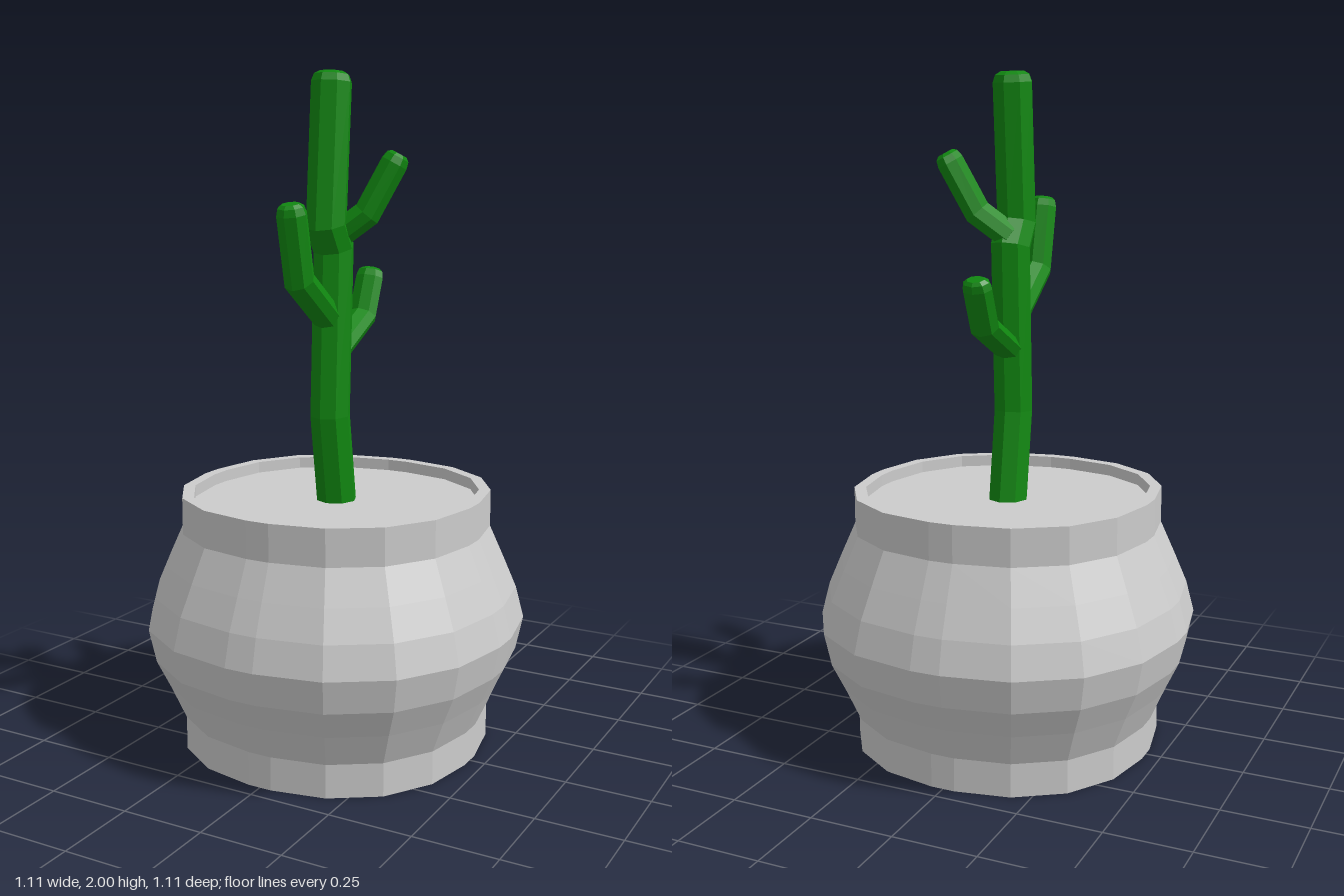
import * as THREE from 'three';

const grey = new THREE.MeshStandardMaterial({ color: 0xcccccc, flatShading: true });
const green = new THREE.MeshStandardMaterial({ color: 0x118811, flatShading: true });

// One quarter of the pot's outline: a slightly squared circle, as x, z
const QUARTER = [[0.08, 1], [0.435, 0.93], [0.735, 0.735], [0.93, 0.435], [1, 0.08]];

// Turns a radius/height profile around the pot's squared outline
function potShape(name, profile) {
  const points = profile.map(([r, y]) => new THREE.Vector2(r, y));
  const geometry = new THREE.LatheGeometry(points, 20);
  const pos = geometry.attributes.position;
  for (let i = 0; i <= 20; i++) {
    let [x, z] = QUARTER[i % 5];
    for (let q = 0; q < Math.floor(i / 5); q++) [x, z] = [z, -x];
    points.forEach((p, j) => pos.setXYZ(i * points.length + j, x * p.x, p.y, z * p.x));
  }
  const mesh = new THREE.Mesh(geometry, grey);
  mesh.name = name;
  return mesh;
}

// Sweeps an eight-sided stem along a planar path, mitred at bends, with a bevelled tip
function stem(name, path, sideRadius, bendRadius) {
  const pts = path.map(p => new THREE.Vector3(...p));
  const dirs = pts.slice(1).map((p, i) => p.clone().sub(pts[i]).normalize());
  const side = new THREE.Vector3().crossVectors(dirs[0], dirs[1]).normalize();
  const last = pts.length - 1;
  const rings = pts.map((c, i) => {
    const before = dirs[Math.max(i - 1, 0)], after = dirs[Math.min(i, last - 1)];
    const t = before.clone().add(after).normalize();
    return { c, t, scale: 1, miter: 1 / t.dot(after) };
  });
  // Rounded end
  const end = rings[last], tip = pts[last];
  end.c = tip.clone().addScaledVector(end.t, -0.03);
  rings.push({ c: tip.clone().addScaledVector(end.t, -0.009), t: end.t, scale: 0.87, miter: 1 });
  rings.push({ c: tip, t: end.t, scale: 0.6, miter: 1 });

  const N = 8, verts = [], index = [];
  rings.forEach(({ c, t, scale, miter }, i) => {
    const v = new THREE.Vector3().crossVectors(t, side);
    for (let j = 0; j < N; j++) {
      const a = j / N * Math.PI * 2;
      const p = c.clone()
        .addScaledVector(side, Math.cos(a) * sideRadius * scale)
        .addScaledVector(v, Math.sin(a) * bendRadius * scale * miter);
      verts.push(p.x, p.y, p.z);
      if (i > 0) {
        const k = (j + 1) % N, lo = (i - 1) * N, hi = i * N;
        index.push(lo + j, lo + k, hi + k, lo + j, hi + k, hi + j);
      }
    }
  });
  const top = (rings.length - 1) * N;
  for (let j = 1; j < N - 1; j++) {
    index.push(top, top + j, top + j + 1);
    index.push(0, j + 1, j);
  }
  const geometry = new THREE.BufferGeometry();
  geometry.setAttribute('position', new THREE.Float32BufferAttribute(verts, 3));
  geometry.setIndex(index);
  geometry.computeVertexNormals();
  const mesh = new THREE.Mesh(geometry, green);
  mesh.name = name;
  return mesh;
}

export function createModel() {
  const model = new THREE.Group();
  model.name = 'pottedCactus';

  // Bulging pot with a narrow rim, and the soil just below it
  model.add(potShape('pot', [
    [0, 0], [0.452, 0], [0.452, 0.1], [0.495, 0.2], [0.535, 0.285], [0.556, 0.385],
    [0.532, 0.48], [0.495, 0.57], [0.452, 0.67], [0.452, 0.78], [0.418, 0.78], [0.418, 0.73],
  ]));
  model.add(potShape('soil', [[0.418, 0.745], [0, 0.745]]));

  // Cactus trunk and three bent arms
  const cactus = new THREE.Group();
  cactus.name = 'cactus';
  cactus.add(
    stem('trunk', [[0, 0.72, -0.005], [0, 1.01, 0.038], [0, 1.5, 0.016], [0, 1.57, 0.06], [0, 2, 0.026]], 0.06, 0.062),
    stem('frontArm', [[0, 1.27, 0.01], [0, 1.42, 0.215], [0, 1.635, 0.262]], 0.045, 0.043),
    stem('backArm', [[0, 1.2, 0], [0, 1.285, -0.165], [0, 1.425, -0.222]], 0.046, 0.036),
    stem('leftArm', [[0, 1.53, 0.01], [0.09, 1.6, -0.02], [0.172, 1.77, -0.062]], 0.05, 0.041),
  );
  model.add(cactus);
  return model;
}
